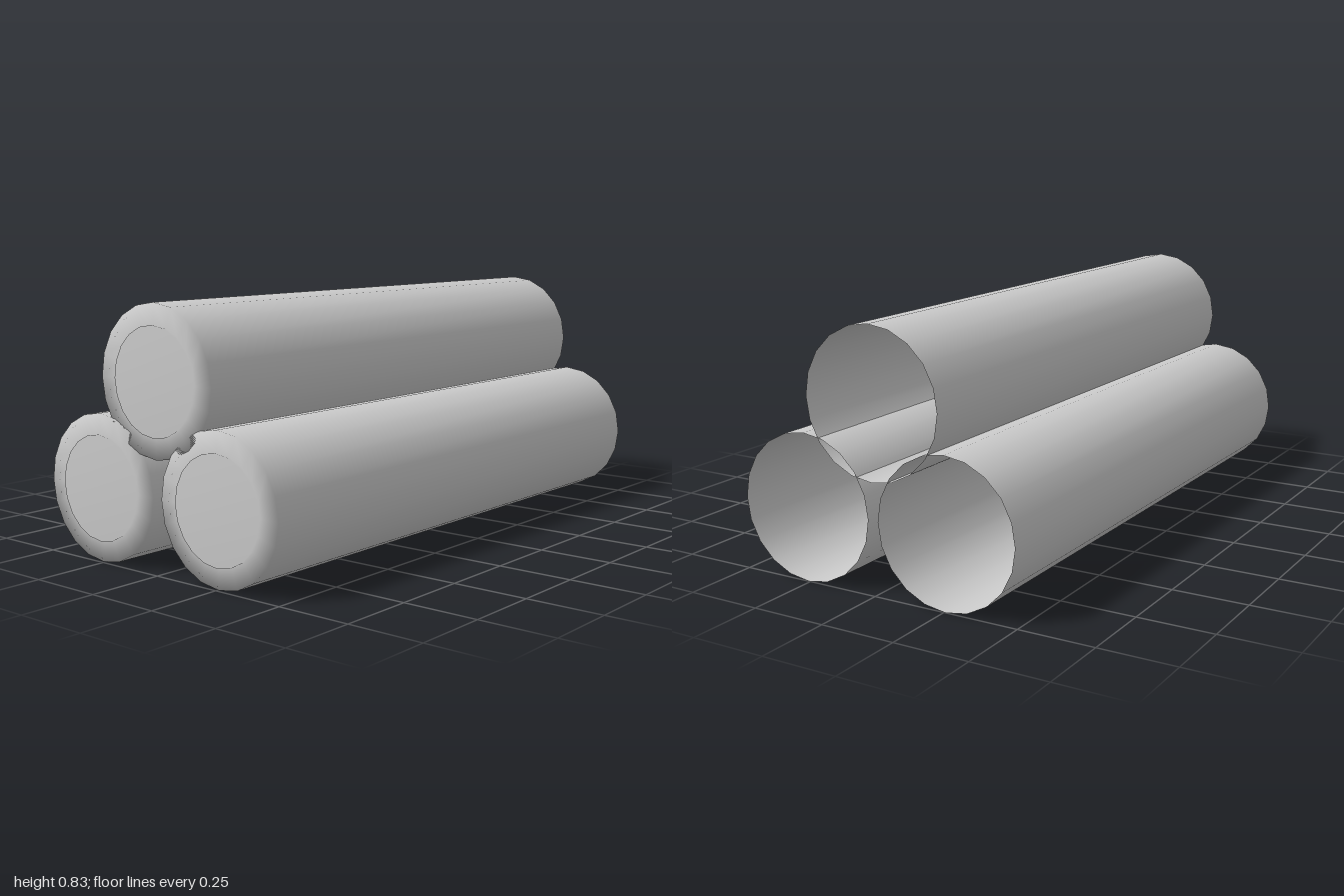
import * as THREE from 'three';

const R = 0.238;       // tube radius
const DISC_R = 0.171;  // raised end disc radius
const FRONT = 0.992;   // front shoulder of the tube

export function createModel() {
  const group = new THREE.Group();
  group.name = 'tubeStack';
  const material = new THREE.MeshStandardMaterial({ color: 0xcccccc, side: THREE.DoubleSide });

  // Tube open at the back, closed at the front by a shallow raised disc;
  // one smooth profile so the shading rolls over the front edges
  const profile = [
    [R, -1], [R, FRONT], [DISC_R, FRONT], [DISC_R, 1], [0, 1],
  ].map(([r, z]) => new THREE.Vector2(r, z));
  const geometry = new THREE.LatheGeometry(profile, 20);
  geometry.rotateX(Math.PI / 2);

  // Two tubes side by side with a third resting on top
  const places = [
    ['leftTube', 0.256, R],
    ['rightTube', -0.256, R],
    ['topTube', 0, 0.594],
  ];
  for (const [name, x, y] of places) {
    const tube = new THREE.Mesh(geometry, material);
    tube.name = name;
    tube.position.set(x, y, 0);
    group.add(tube);
  }
  return group;
}
